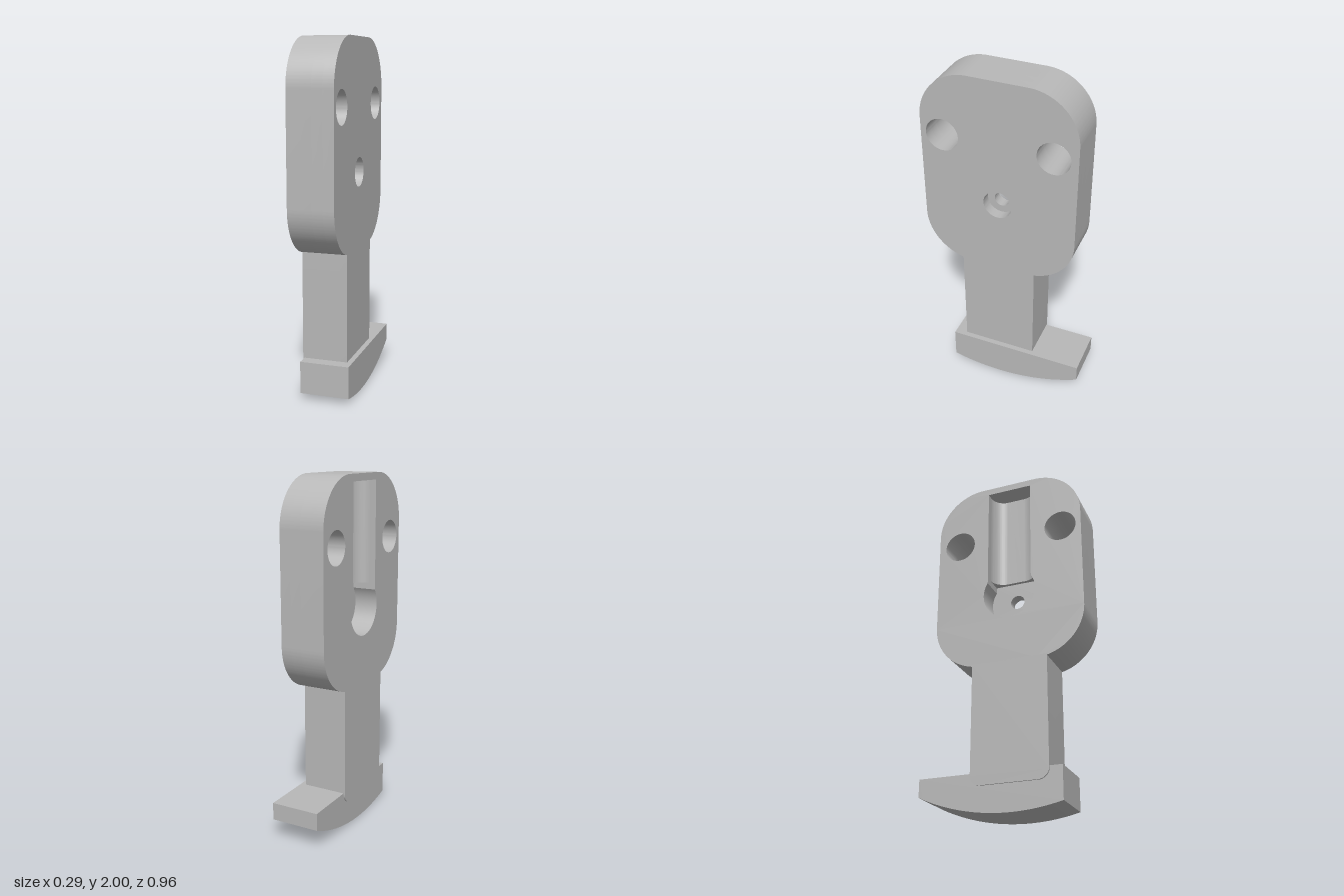
import * as THREE from 'three';
import { toCreasedNormals } from 'three/addons/utils/BufferGeometryUtils.js';

const CZ = 0.04; // z of the centre bore

export function createModel() {
  const group = new THREE.Group();
  const grey = new THREE.MeshStandardMaterial({ color: 0xb8b8b8 });

  const add = (name, geometry) => {
    const mesh = new THREE.Mesh(toCreasedNormals(geometry, 0.5), grey);
    mesh.name = name;
    group.add(mesh);
  };

  // Side profile drawn in (-z, y), extruded from x0 to x1
  const slab = (name, shape, x0, x1) => {
    const g = new THREE.ExtrudeGeometry(shape, { depth: x1 - x0, bevelEnabled: false, curveSegments: 32 });
    g.rotateY(Math.PI / 2).translate(x0, 0, 0);
    add(name, g);
  };

  const circle = (u, v, r) => new THREE.Path().absarc(u, v, r, 0, Math.PI * 2, false);

  // Rounded rectangle with separate radii for the bottom and top corners
  const rounded = (l, r, b, t, rb, rt) => {
    const s = new THREE.Shape();
    s.absarc(l + rb, b + rb, rb, Math.PI, Math.PI * 1.5, false);
    s.absarc(r - rb, b + rb, rb, Math.PI * 1.5, Math.PI * 2, false);
    if (rt > 0) {
      s.absarc(r - rt, t - rt, rt, 0, Math.PI / 2, false);
      s.absarc(l + rt, t - rt, rt, Math.PI / 2, Math.PI, false);
    } else {
      s.lineTo(r, t);
      s.lineTo(l, t);
    }
    s.closePath();
    return s;
  };

  const plate = (centreHole) => {
    const s = rounded(-0.48, 0.41, 0.825, 2, 0.28, 0.28);
    s.holes.push(circle(-0.355, 1.63, 0.094), circle(0.275, 1.63, 0.094), centreHole);
    return s;
  };

  // Keyhole pocket: round bottom, straight slot up to a flat end
  const half = 0.133, R = 0.157, boreY = 1.26;
  const a = Math.acos(half / R);
  const keyhole = new THREE.Path();
  keyhole.absarc(-CZ, boreY, R, Math.PI - a, Math.PI * 2 + a, false);
  keyhole.lineTo(-CZ + half, 1.96);
  keyhole.lineTo(-CZ - half, 1.96);
  keyhole.closePath();

  // Head in three layers: pocket, web with small bore, counterbore
  slab('headPocketLayer', plate(keyhole), -0.148, -0.01);
  slab('headWebLayer', plate(circle(-CZ, boreY, 0.042)), -0.01, 0.05);
  slab('headCounterboreLayer', plate(circle(-CZ, boreY, 0.083)), 0.05, 0.112);

  // Slot floor with filleted sides
  const f = 0.08, inner = half - f;
  const bed = new THREE.Shape();
  bed.moveTo(-0.01, -half);
  bed.lineTo(-0.01, half);
  bed.lineTo(-0.11, half);
  bed.absarc(-0.11, inner, f, Math.PI / 2, 0, true);
  bed.absarc(-0.11, -inner, f, 0, -Math.PI / 2, true);
  bed.closePath();
  const bedGeo = new THREE.ExtrudeGeometry(bed, { depth: 0.58, bevelEnabled: false, curveSegments: 12 });
  bedGeo.rotateX(-Math.PI / 2).translate(0, 1.38, CZ);
  add('slotFloor', bedGeo);

  // Stem, rounded at its lower corners
  slab('stem', rounded(-0.26, 0.18, 0.152, 0.84, 0.06, 0), -0.148, 0.112);

  // Foot with an arched sole
  const solR = 1.18;
  const foot = new THREE.Shape();
  foot.moveTo(0.48, 0.22);
  foot.lineTo(-0.33, 0.22);
  foot.absarc(-CZ, solR, solR,
    -Math.PI / 2 - Math.asin((0.33 - CZ) / solR),
    -Math.PI / 2 + Math.asin((0.48 + CZ) / solR), false);
  foot.closePath();
  slab('foot', foot, -0.14, 0.142);

  return group;
}
